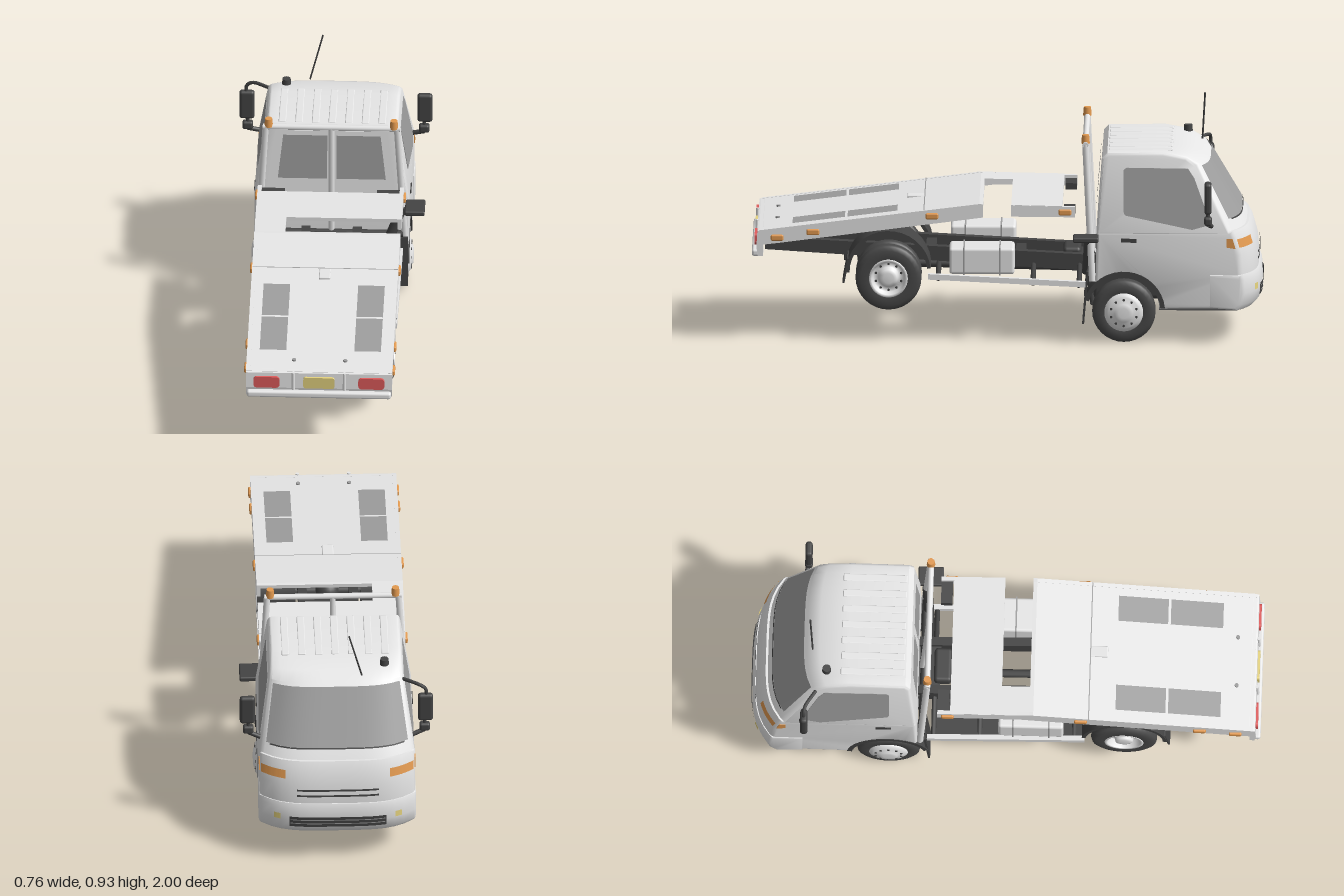
import * as THREE from 'three';
import { toCreasedNormals } from 'three/addons/utils/BufferGeometryUtils.js';
import { RoundedBoxGeometry } from 'three/addons/geometries/RoundedBoxGeometry.js';

const paint = (name, color) => new THREE.MeshStandardMaterial({ name, color, side: THREE.DoubleSide });

export function createModel() {
  const root = new THREE.Group();
  root.name = 'flatbedTruck';
  const white = paint('white paint', 0xe8e8e8);
  const glass = paint('grey glass', 0x9e9e9e);
  const dark = paint('dark plastic', 0x444444);
  const under = paint('underbody grey', 0x5a5a5a);
  const rubber = paint('tyre rubber', 0x494949);
  const orange = paint('orange lamp', 0xe39a50);
  const red = paint('red lamp', 0xe05c5c);
  const yellow = paint('yellow plate', 0xe6d480);

  const add = (name, geo, mat, parent = root) => {
    const m = new THREE.Mesh(geo, mat);
    m.name = name;
    parent.add(m);
    return m;
  };
  const box = (name, mat, x, y, z, w, h, d, r = 0) => {
    const g = r ? new RoundedBoxGeometry(w, h, d, 2, r) : new THREE.BoxGeometry(w, h, d);
    return add(name, g.translate(x, y, z), mat);
  };
  const rod = (name, mat, a, b, r, sides = 10) => {
    const p = new THREE.Vector3(...a), q = new THREE.Vector3(...b);
    const m = add(name, new THREE.CylinderGeometry(r, r, p.distanceTo(q), sides), mat);
    m.position.copy(p).lerp(q, 0.5);
    m.quaternion.setFromUnitVectors(new THREE.Vector3(0, 1, 0), q.sub(p).normalize());
    return m;
  };
  // Rounded plate facing +z
  const plate = (name, mat, x, y, z, w, h, r) => {
    const s = new THREE.Shape(), a = w / 2 - r, b = h / 2 - r;
    s.absarc(a, b, r, 0, Math.PI / 2).absarc(-a, b, r, Math.PI / 2, Math.PI);
    s.absarc(-a, -b, r, Math.PI, Math.PI * 1.5).absarc(a, -b, r, Math.PI * 1.5, Math.PI * 2);
    const g = new THREE.ExtrudeGeometry(s, { depth: 0.009, bevelEnabled: false, curveSegments: 5 });
    return add(name, g.translate(x, y, z), mat);
  };
  // Side profile of [z, y] points extruded across x
  const prof = (pts, width, x = 0, bevel = 0, steps = 1) => {
    const g = new THREE.ExtrudeGeometry(new THREE.Shape(pts.map(p => new THREE.Vector2(...p))), {
      depth: width - 2 * bevel, steps, bevelEnabled: bevel > 0, bevelSize: bevel,
      bevelThickness: bevel, bevelOffset: -bevel, bevelSegments: 3 });
    return g.translate(0, 0, bevel - width / 2).rotateY(-Math.PI / 2).translate(x, 0, 0);
  };
  // Cab shaping: sides lean inwards above the belt, nose is rounded in plan
  const warp = g => {
    const p = g.attributes.position;
    for (let i = 0; i < p.count; i++) {
      const x = p.getX(i), y = p.getY(i), z = p.getZ(i);
      const t = THREE.MathUtils.clamp((-0.55 - z) / 0.4, 0, 1);
      p.setZ(i, z + 0.07 * t * (Math.abs(x) / 0.303) ** 4);
      p.setX(i, x * (1 - 0.5 * Math.max(0, y - 0.45)));
    }
    return toCreasedNormals(g, 0.6);
  };
  // Thin face from line a to line b ([z, y]) between x0 and x1, lifted off its surface
  const strip = (x0, x1, a, b, off = 0.005) => {
    const g = new THREE.PlaneGeometry(1, 1, 14, 1), p = g.attributes.position;
    const dz = b[0] - a[0], dy = b[1] - a[1], s = Math.sign(x1 - x0) * off / Math.hypot(dz, dy);
    for (let i = 0; i < p.count; i++) {
      const u = p.getX(i) + 0.5, v = p.getY(i) + 0.5;
      p.setXYZ(i, x0 + (x1 - x0) * u, a[1] + dy * v - dz * s, a[0] + dz * v + dy * s);
    }
    g.computeVertexNormals();
    return g;
  };
  const lathe = pts => new THREE.LatheGeometry(pts.map(p => new THREE.Vector2(...p)), 32).rotateZ(-Math.PI / 2);
  const arcPts = (r, z, y, a0, a1, n = 16) => Array.from({ length: n + 1 }, (_, i) => {
    const a = a0 + (a1 - a0) * i / n;
    return [z + r * Math.cos(a), y + r * Math.sin(a)];
  });
  // Curved mudguard band of thickness t over a wheel
  const guard = (r, t, w, x, z, y, a0, a1) =>
    toCreasedNormals(prof([...arcPts(r, z, y, a0, a1), ...arcPts(r - t, z, y, a1, a0)], w, x), 0.6);

  // Cab body with wheel arches
  add('cabLower', warp(prof([[-0.35, 0.45], [-0.343, 0.26], ...arcPts(0.148, -0.455, 0.13, 0.72, Math.PI - 0.07),
    [-0.965, 0.145], [-0.982, 0.2], [-0.98, 0.285], [-0.975, 0.36], [-0.955, 0.43], [-0.942, 0.455]],
    0.606, 0, 0.012, 16)), white);
  add('bumper', warp(prof([[-0.84, 0.145], [-0.965, 0.138], [-0.985, 0.16], [-0.994, 0.205], [-0.991, 0.262],
    [-0.984, 0.28], [-0.84, 0.282]], 0.614, 0, 0.01, 16)), white);
  add('cabUpper', warp(prof([[-0.347, 0.435], [-0.37, 0.735], [-0.39, 0.757], [-0.62, 0.76], [-0.73, 0.742],
    [-0.78, 0.715], [-0.945, 0.435]], 0.606, 0, 0.014, 16)), white);
  for (let i = -3; i <= 3; i++) box('roofRib', white, i * 0.065, 0.7555, -0.52, 0.03, 0.01, 0.25, 0.004);
  add('windscreen', warp(strip(0.284, -0.284, [-0.909, 0.496], [-0.787, 0.703], 0.006)), glass);
  add('cowlGap', warp(strip(0.27, -0.27, [-0.912, 0.491], [-0.909, 0.496], 0.007)), dark);
  add('sideWindows', warp(prof([[-0.465, 0.70], [-0.74, 0.697], [-0.77, 0.66], [-0.845, 0.49], [-0.83, 0.476],
    [-0.76, 0.46], [-0.46, 0.515], [-0.453, 0.53], [-0.453, 0.69]], 0.61)), glass);
  for (const s of [-1, 1]) {
    add('rearWindow', warp(strip(s > 0 ? 0.02 : -0.22, s > 0 ? 0.22 : -0.02, [-0.354, 0.53], [-0.369, 0.718], 0.007)), glass);
    add('headlamp', warp(strip(s > 0 ? 0.298 : -0.205, s > 0 ? 0.205 : -0.298, [-0.968, 0.386], [-0.958, 0.42], 0.005)), orange);
    add('fogLamp', warp(strip(s > 0 ? 0.25 : -0.225, s > 0 ? 0.225 : -0.25, [-0.994, 0.21], [-0.993, 0.235], 0.006)), yellow);
  }
  add('headlampSides', warp(prof([[-0.925, 0.39], [-0.965, 0.384], [-0.953, 0.424], [-0.925, 0.424]], 0.612)), orange);
  add('doorHandles', warp(prof([[-0.445, 0.41], [-0.505, 0.408], [-0.505, 0.423], [-0.445, 0.425]], 0.614)), dark);
  for (const y of [0.312, 0.338])
    add('grilleSlot', warp(strip(0.16, -0.16, [-0.979, y], [-0.978, y + 0.008])), dark);
  add('bumperGrille', warp(strip(0.19, -0.19, [-0.99, 0.178], [-0.993, 0.225], 0.005)), dark);
  for (const y of [0.193, 0.209])
    add('bumperGrilleBar', warp(strip(0.185, -0.185, [-0.992, y], [-0.9922, y + 0.004], 0.0065)), glass);
  add('cabFloor', warp(prof([[-0.6, 0.148], [-0.6, 0.136], [-0.96, 0.136], [-0.96, 0.148]], 0.59, 0, 0, 16)), under);
  box('engine', dark, 0, 0.22, -0.5, 0.26, 0.16, 0.34, 0.02);
  rod('frontAxle', dark, [-0.22, 0.128, -0.455], [0.22, 0.128, -0.455], 0.018);

  // Aerial, roof knob and snorkel
  rod('aerial', dark, [-0.10, 0.735, -0.757], [-0.05, 0.93, -0.768], 0.0035, 6);
  add('roofKnob', new THREE.CylinderGeometry(0.016, 0.018, 0.025, 16).translate(-0.19, 0.758, -0.7), dark);
  box('airIntake', dark, 0.327, 0.43, -0.307, 0.078, 0.02, 0.1, 0.006);
  rod('airIntakePipe', dark, [0.28, 0.43, -0.32], [0.22, 0.27, -0.31], 0.02);

  // Mirrors
  for (const s of [-1, 1]) {
    box('mirror', dark, s * 0.348, 0.598, -0.785, 0.06, 0.125, 0.028, 0.012);
    box('lowerMirror', dark, s * 0.345, 0.505, -0.785, 0.042, 0.035, 0.03, 0.01);
    rod('mirrorStalk', dark, [s * 0.345, 0.55, -0.785], [s * 0.345, 0.5, -0.785], 0.007);
    rod('mirrorFoot', dark, [s * 0.345, 0.49, -0.785], [s * 0.285, 0.47, -0.8], 0.009);
  }
  const arm = new THREE.CatmullRomCurve3([[-0.26, 0.702, -0.74], [-0.325, 0.7, -0.78], [-0.348, 0.685, -0.785],
    [-0.352, 0.64, -0.785]].map(p => new THREE.Vector3(...p)));
  add('mirrorArm', new THREE.TubeGeometry(arm, 12, 0.007, 8), dark);

  // Wheels: profile as [radius, outward offset]
  const tyre = (r, w) => lathe([[0.07, -w], [r - 0.02, -w], [r - 0.004, -w * 0.75], [r, -w * 0.4], [r, w * 0.4],
    [r - 0.004, w * 0.75], [r - 0.02, w], [0.074, w], [0.07, w * 0.8]]);
  const wheel = (s, x, y, z, r, w, rim) => {
    const g = new THREE.Group();
    g.name = 'wheel';
    g.position.set(s * x, y, z);
    if (s < 0) g.rotation.y = Math.PI;
    add('tyre', tyre(r, w), rubber, g);
    add('rim', lathe(rim), white, g);
    for (let i = 0; i < 10; i++) {
      const a = i * Math.PI / 5;
      add('rimHole', new THREE.CylinderGeometry(0.005, 0.005, 0.004, 8).rotateZ(Math.PI / 2)
        .translate(rim[3][1] + 0.001, 0.052 * Math.cos(a), 0.052 * Math.sin(a)), dark, g);
    }
    root.add(g);
  };
  for (const s of [-1, 1]) {
    wheel(s, 0.255, 0.127, -0.455, 0.124, 0.04,
      [[0.076, 0.03], [0.076, 0.042], [0.066, 0.045], [0.06, 0.052], [0.044, 0.052], [0.035, 0.06], [0.02, 0.062], [0, 0.062]]);
    const rear = [[0.076, 0.02], [0.076, 0.035], [0.066, 0.034], [0.06, 0.005], [0.04, 0.005], [0.034, 0.03], [0.02, 0.034], [0, 0.034]];
    wheel(s, 0.242, 0.255, 0.465, 0.129, 0.034, rear);
    wheel(s, 0.166, 0.255, 0.465, 0.129, 0.034, rear);
    // Fenders and mud flaps
    add('frontArch', guard(0.162, 0.018, 0.105, s * 0.2525, -0.455, 0.13, 0.3, Math.PI - 0.1), dark);
    add('frontFlap', prof([[-0.292, 0.08], [-0.3, 0.08], [-0.318, 0.29], [-0.31, 0.29]], 0.11, s * 0.245), dark);
    add('rearFender', guard(0.166, 0.014, 0.15, s * 0.203, 0.465, 0.28, 0, Math.PI - 0.1), dark);
    add('rearFlap', prof([[0.645, 0.235], [0.637, 0.235], [0.617, 0.335], [0.627, 0.335]], 0.14, s * 0.203, 0.002), dark);
    // Chassis rails, side bars and storage boxes
    add('chassisRail', prof([[0.95, 0.335], [0.95, 0.385], [-0.35, 0.315], [-0.9, 0.25], [-0.9, 0.2], [-0.35, 0.25]], 0.035, s * 0.1), dark);
    add('sideBar', prof([[0.31, 0.252], [0.31, 0.274], [-0.31, 0.244], [-0.31, 0.222]], 0.02, s * 0.27), white);
    box('storageBox', white, s * 0.2, 0.323, 0.1, 0.14, 0.105, 0.255, 0.012);
    for (const z of [0.03, 0.17]) box('boxStrap', glass, s * 0.2, 0.323, z, 0.144, 0.109, 0.006);
    for (const z of [0.27, -0.1, -0.28]) rod('sideBarBracket', dark, [s * 0.1, 0.28, z], [s * 0.268, 0.24 + z * 0.05, z], 0.01, 8);
    rod('railStay', dark, [s * 0.12, 0.13, -0.33], [s * 0.11, 0.28, -0.31], 0.01, 8);
    box('deckBracket', dark, s * 0.225, 0.522, -0.242, 0.09, 0.025, 0.045);
  }
  // Tray beneath the right storage box
  add('tray', prof([[0.3, 0.255], [0.3, 0.265], [-0.28, 0.238], [-0.28, 0.228]], 0.15, -0.185), dark);
  for (const z of [0.85, 0.3, -0.05, -0.28]) box('crossMember', dark, 0, 0.3 + z * 0.06, z, 0.22, 0.04, 0.04);
  rod('rearAxle', dark, [-0.2, 0.257, 0.465], [0.2, 0.257, 0.465], 0.022, 14);
  add('differential', new THREE.SphereGeometry(0.05, 20, 14).translate(0, 0.257, 0.465), dark);
  rod('driveShaft', dark, [0, 0.257, 0.43], [0, 0.24, -0.4], 0.016);
  rod('lowerCrossBar', dark, [-0.12, 0.125, -0.33], [0.12, 0.125, -0.33], 0.01);
  box('winch', dark, 0, 0.31, -0.25, 0.14, 0.05, 0.07, 0.015);

  // Sloping deck with an opening that runs out to the left edge
  const deckY = z => z < 0.11 ? 0.55 + (z + 0.2) * 0.019 : 0.556 - 0.1256 * (z - 0.11);
  const sheet = (name, z0, z1, w, x) => add(name, prof([[z0, deckY(z0) - 0.015], [z1, deckY(z1) - 0.015],
    [z1, deckY(z1)], [z0, deckY(z0)]], w, x), white);
  sheet('deckFront', -0.215, -0.015, 0.57, 0);
  sheet('deckBridge', -0.015, 0.095, 0.12, -0.225);
  sheet('deckMiddle', 0.095, 0.11, 0.57, 0);
  sheet('deckRear', 0.11, 0.97, 0.57, 0);
  const onDeck = (name, x0, x1, z0, z1, mat, off = 0.003) =>
    add(name, strip(x0, x1, [z1, deckY(z1)], [z0, deckY(z0)], off), mat);
  onDeck('deckSeam', -0.285, 0.285, 0.324, 0.328, glass);
  box('deckLatch', white, 0, deckY(0.36), 0.36, 0.045, 0.012, 0.07, 0.004);
  const rail = (s, pts) => add('deckRail', prof(pts, 0.016, s * 0.278), white);
  rail(-1, [[-0.015, 0.507], [-0.015, 0.553], [0.095, 0.556], [0.095, 0.503], [0.06, 0.508]]);
  for (const s of [-1, 1]) {
    for (const [z0, z1] of [[0.43, 0.625], [0.635, 0.84]])
      onDeck('treadPanel', s * 0.185 - 0.052, s * 0.185 + 0.052, z0, z1, glass);
    rail(s, [[-0.265, 0.505], [-0.265, 0.546], [-0.015, 0.553], [-0.015, 0.507]]);
    rail(s, [[0.095, 0.503], [0.095, 0.556], [0.11, 0.557], [0.97, 0.449], [0.97, 0.39], [0.9, 0.398]]);
    for (const [z, y] of [[-0.225, 0.525], [0.295, 0.508], [0.76, 0.443], [0.9, 0.42]])
      box('sideLamp', orange, s * 0.288, y, z, 0.014, 0.024, 0.05, 0.006);
    // Tail lamps
    plate('tailLamp', red, s * 0.205, 0.407, 0.979, 0.102, 0.048, 0.014);
    rod('tailPin', white, [s * 0.1, 0.375, 0.982], [s * 0.1, 0.45, 0.98], 0.007);
    add('deckPin', new THREE.CylinderGeometry(0.008, 0.008, 0.008, 12).translate(s * 0.1, deckY(0.9) + 0.002, 0.9), glass);
  }
  add('tailPanel', prof([[0.955, 0.345], [0.975, 0.345], [0.981, 0.38], [0.977, 0.445], [0.955, 0.45]], 0.57), white);
  box('tailBumper', white, 0, 0.357, 0.984, 0.565, 0.028, 0.03, 0.01);
  plate('numberPlate', yellow, 0, 0.407, 0.979, 0.122, 0.048, 0.01);

  // Headboard frame with beacons
  for (const s of [-1, 1]) {
    rod('headboardPost', white, [s * 0.288, 0.25, -0.332], [s * 0.257, 0.79, -0.305], 0.013);
    add('beacon', new THREE.CylinderGeometry(0.014, 0.017, 0.034, 16).translate(s * 0.245, 0.81, -0.305), orange);
  }
  rod('headboardBar', white, [-0.268, 0.79, -0.305], [0.268, 0.79, -0.305], 0.012);
  rod('headboardCentre', white, [0, 0.3, -0.33], [0, 0.79, -0.305], 0.012);
  rod('headboardBase', dark, [-0.28, 0.3, -0.325], [0.28, 0.3, -0.325], 0.014);
  return root;
}
